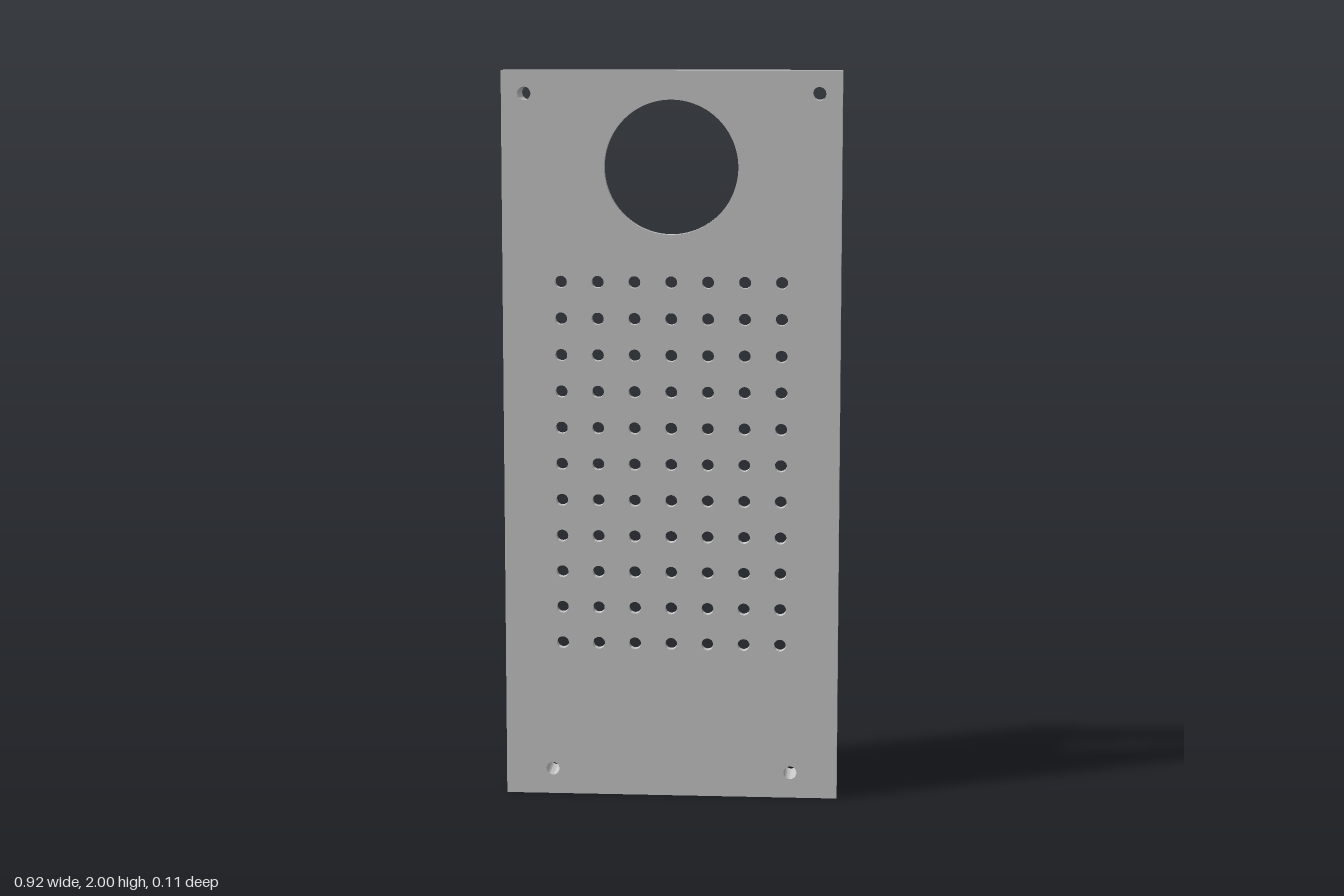
import * as THREE from 'three';
import { toCreasedNormals } from 'three/addons/utils/BufferGeometryUtils.js';

const W = 0.918, H = 2, D = 0.11;    // overall size
const WALL = 0.022, PLATE = 0.025;   // rim and front plate thickness
const SCREW_R = 0.018, BOSS_R = 0.037;

// Screw positions: wide pair at the top, narrower pair at the bottom
const screws = [[-0.397, 1.938], [0.397, 1.938], [-0.33, 0.071], [0.33, 0.071]];

function rect(Type, w, h, cy) {
  const s = new Type();
  s.moveTo(-w / 2, cy - h / 2);
  s.lineTo(w / 2, cy - h / 2);
  s.lineTo(w / 2, cy + h / 2);
  s.lineTo(-w / 2, cy + h / 2);
  s.closePath();
  return s;
}

function circle(Type, x, y, r) {
  const s = new Type();
  s.absarc(x, y, r, 0, Math.PI * 2, false);
  return s;
}

// Extrude a shape between two z depths, keeping edges sharp and holes smooth
function slab(name, shape, z0, z1, material, curveSegments) {
  const geo = new THREE.ExtrudeGeometry(shape, { depth: z1 - z0, bevelEnabled: false, curveSegments });
  geo.translate(0, 0, z0);
  const mesh = new THREE.Mesh(toCreasedNormals(geo, 0.6), material);
  mesh.name = name;
  return mesh;
}

export function createModel() {
  const group = new THREE.Group();
  group.name = 'perforatedCover';
  const grey = new THREE.MeshStandardMaterial({ color: 0xc8c8c8 });
  grey.name = 'lightGrey';

  const front = D / 2, back = -D / 2, floor = front - PLATE;

  // Front plate with round opening, vent grid and screw holes
  const plate = rect(THREE.Shape, W, H, H / 2);
  for (let row = 0; row < 11; row++) {
    for (let col = -3; col <= 3; col++) {
      plate.holes.push(circle(THREE.Path, col * 0.1, 0.431 + row * 0.1, 0.0165));
    }
  }
  for (const [x, y] of screws) plate.holes.push(circle(THREE.Path, x, y, SCREW_R));
  const opening = circle(THREE.Path, 0, 1.741, 0.181);
  plate.holes.push(new THREE.Path(opening.getPoints(64).slice(0, -1)));
  group.add(slab('frontPlate', plate, floor, front, grey, 20));

  // Rim running around the back
  const rim = rect(THREE.Shape, W, H, H / 2);
  rim.holes.push(rect(THREE.Path, W - 2 * WALL, H - 2 * WALL, H / 2));
  group.add(slab('rim', rim, back, floor, grey, 1));

  // Hollow screw posts
  for (const [x, y] of screws) {
    const post = circle(THREE.Shape, x, y, BOSS_R);
    post.holes.push(circle(THREE.Path, x, y, SCREW_R));
    group.add(slab('screwPost', post, back, floor, grey, 20));
  }

  return group;
}
